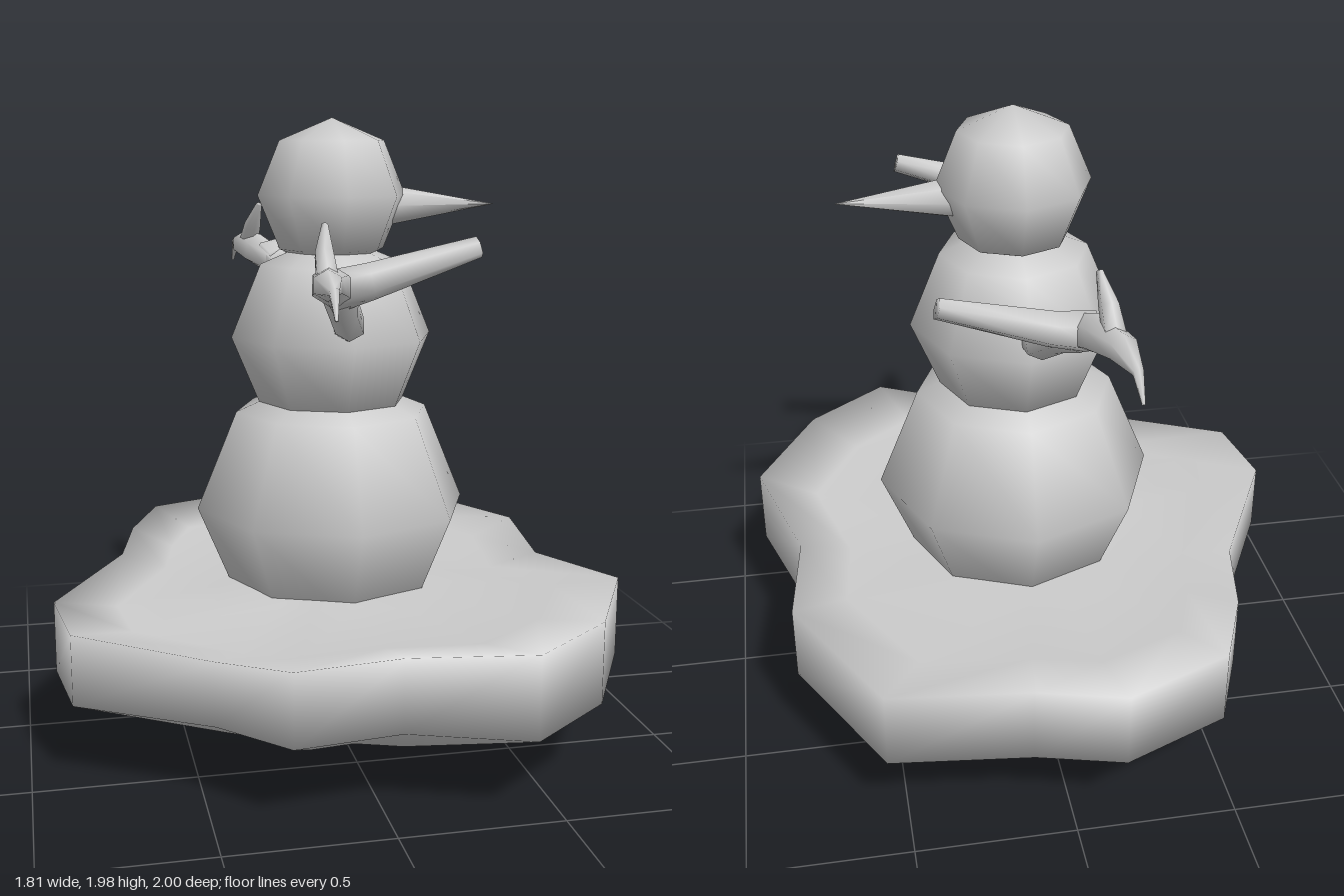
import * as THREE from 'three';

const material = new THREE.MeshStandardMaterial({ color: 0xcccccc, side: THREE.DoubleSide });

// Closed skin over rings of equal point count, each end capped by a centre point
function skin(rings, start, end) {
  const n = rings[0].length;
  const points = [...rings.flat(), start, end];
  const index = [];
  const a = rings.length * n, b = a + 1, last = a - n;
  for (let i = 0; i < n; i++) {
    const j = (i + 1) % n;
    index.push(a, j, i, b, last + i, last + j);
    for (let k = 0; k < rings.length - 1; k++) {
      const p = k * n, q = p + n;
      index.push(p + i, p + j, q + j, p + i, q + j, q + i);
    }
  }
  const geometry = new THREE.BufferGeometry().setFromPoints(points);
  geometry.setIndex(index);
  geometry.computeVertexNormals();
  return geometry;
}

// Tapered branch through [x, y, z, radius] stations
function branch(stations, sides = 6) {
  const centres = stations.map(([x, y, z]) => new THREE.Vector3(x, y, z));
  const last = centres.length - 1;
  const rings = centres.map((c, k) => {
    const t = centres[Math.min(k + 1, last)].clone().sub(centres[Math.max(k - 1, 0)]).normalize();
    const up = new THREE.Vector3(0, 1, 0);
    const u = up.addScaledVector(t, -up.dot(t)).normalize();
    const v = t.clone().cross(u);
    return Array.from({ length: sides }, (_, i) => {
      const angle = (i / sides) * Math.PI * 2;
      return c.clone()
        .addScaledVector(u, Math.cos(angle) * stations[k][3])
        .addScaledVector(v, Math.sin(angle) * stations[k][3]);
    });
  });
  return skin(rings, centres[0], centres[last]);
}

export function createModel() {
  const group = new THREE.Group();
  const add = (name, geometry, parent = group) => {
    const mesh = new THREE.Mesh(geometry, material);
    mesh.name = name;
    parent.add(mesh);
    return mesh;
  };

  // Irregular snow mound: rim corners as [x, z, top height]
  const rim = [
    [-0.15, -1, 0.5], [-0.49, -0.86, 0.5], [-0.6, -0.6, 0.49], [-0.66, -0.31, 0.48],
    [-0.91, 0.17, 0.48], [-0.87, 0.47, 0.475], [-0.47, 0.71, 0.45], [-0.28, 0.91, 0.48],
    [0.05, 0.87, 0.48], [0.41, 1, 0.51], [0.69, 0.78, 0.51], [0.9, 0.39, 0.51],
    [0.77, -0.03, 0.48], [0.81, -0.42, 0.5], [0.56, -0.88, 0.5], [0.12, -0.93, 0.5],
  ];
  const ring = (scale, height) =>
    rim.map(([x, z, top]) => new THREE.Vector3(x * scale, height(top), z * scale));
  add('snowMound', skin([
    ring(0.42, () => 0),
    ring(1, () => 0.25),
    ring(1, (top) => top),
    ring(0.78, (top) => top - 0.04),
    ring(0.42, () => 0.465),
  ], new THREE.Vector3(0, 0, 0), new THREE.Vector3(0, 0.47, 0)));

  // Stacked snowballs
  for (const [name, radius, y] of [
    ['lowerBall', 0.455, 0.71], ['middleBall', 0.335, 1.28], ['head', 0.245, 1.737],
  ]) {
    add(name, new THREE.SphereGeometry(radius, 8, 4)).position.set(0.03, y, -0.02);
  }

  // Pointed nose
  const nose = add('nose', new THREE.ConeGeometry(0.065, 0.36, 8));
  nose.rotation.z = -Math.PI / 2;
  nose.position.set(0.4, 1.702, -0.02);

  // Twig arms, mirrored about the body's centre
  const twigs = {
    forearm: [[0.02, 1.34, 0.25, 0.045], [0.01, 1.355, 0.35, 0.05], [-0.03, 1.42, 0.44, 0.05],
      [-0.06, 1.48, 0.54, 0.06]],
    longFinger: [[-0.05, 1.47, 0.5, 0.05], [-0.11, 1.51, 0.62, 0.06], [-0.145, 1.525, 0.75, 0.045],
      [-0.155, 1.52, 0.88, 0.016], [-0.16, 1.45, 0.93, 0.005]],
    upperFinger: [[-0.135, 1.53, 0.7, 0.035], [-0.13, 1.6, 0.63, 0.03], [-0.115, 1.68, 0.57, 0.01]],
    sideFinger: [[-0.1, 1.48, 0.54, 0.065], [0.02, 1.515, 0.575, 0.055], [0.34, 1.61, 0.59, 0.032]],
  };
  for (const [name, side] of [['frontArm', 1], ['backArm', -1]]) {
    const arm = new THREE.Group();
    arm.name = name;
    arm.position.z = -0.02;
    for (const [part, stations] of Object.entries(twigs)) {
      add(part, branch(stations.map(([x, y, z, r]) => [x, y, z * side, r])), arm);
    }
    group.add(arm);
  }
  return group;
}
